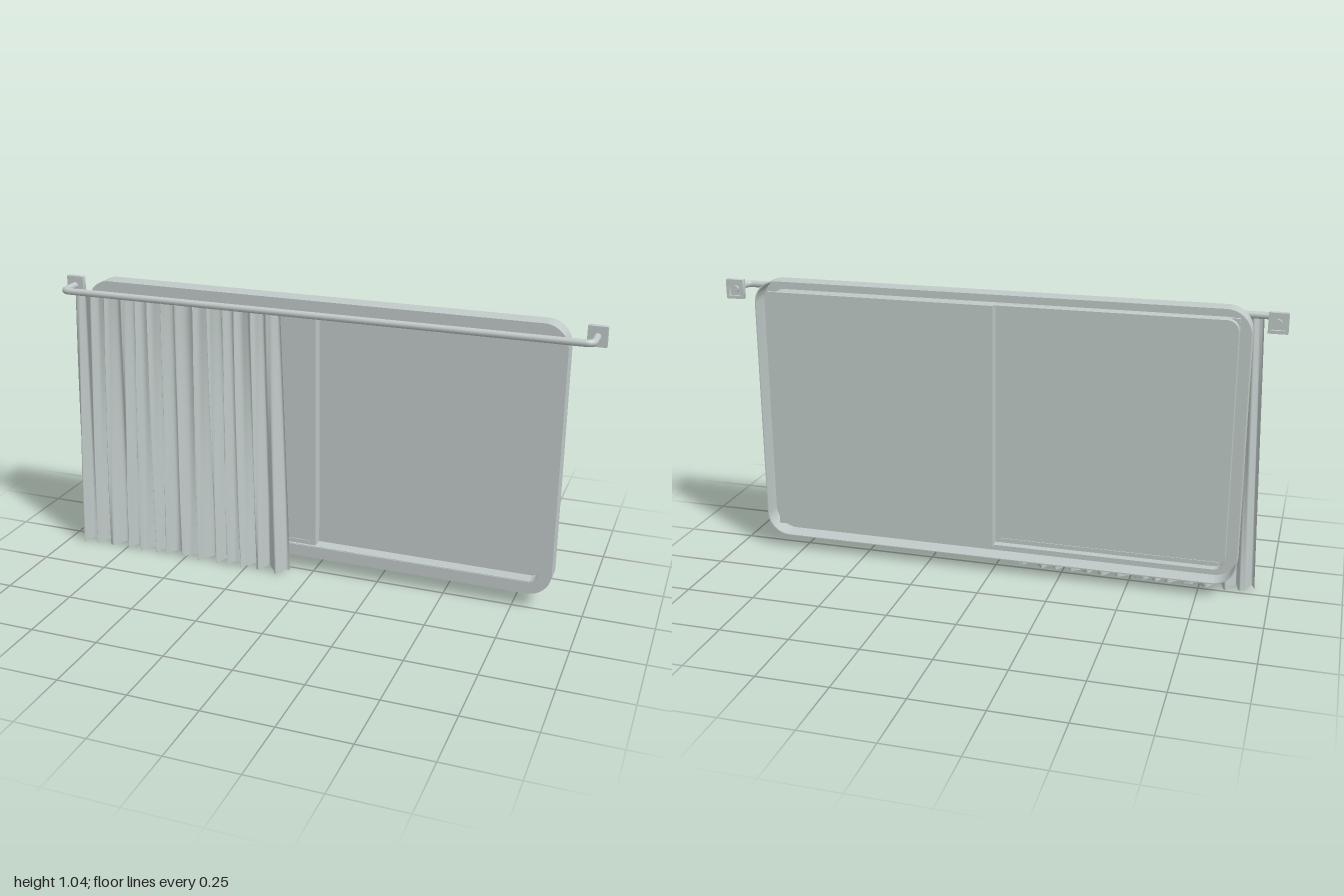
import * as THREE from 'three';
import { toCreasedNormals } from 'three/addons/utils/BufferGeometryUtils.js';

export function createModel() {
  const model = new THREE.Group();
  const grey = new THREE.MeshStandardMaterial({ color: 0xc0cac8, side: THREE.DoubleSide });
  grey.name = 'pale grey';

  const add = (name, geometry, x = 0, y = 0, z = 0, parent = model) => {
    const mesh = new THREE.Mesh(geometry, grey);
    mesh.name = name;
    mesh.position.set(x, y, z);
    parent.add(mesh);
    return mesh;
  };

  // Rounded rectangle outline, centred on the origin
  const trace = (path, w, h, r) => {
    const a = w / 2, b = h / 2;
    path.moveTo(-a + r, -b);
    path.lineTo(a - r, -b);
    path.absarc(a - r, -b + r, r, -Math.PI / 2, 0);
    path.lineTo(a, b - r);
    path.absarc(a - r, b - r, r, 0, Math.PI / 2);
    path.lineTo(-a + r, b);
    path.absarc(-a + r, b - r, r, Math.PI / 2, Math.PI);
    path.lineTo(-a, -b + r);
    path.absarc(-a + r, -b + r, r, Math.PI, Math.PI * 1.5);
    return path;
  };

  // Rectangular ring with an opening, extruded along z
  const ring = (w, h, r, w2, h2, r2, depth) => {
    const shape = trace(new THREE.Shape(), w, h, r);
    shape.holes.push(trace(new THREE.Path(), w2, h2, r2));
    const g = new THREE.ExtrudeGeometry(shape, { depth, bevelEnabled: false, curveSegments: 10 });
    return toCreasedNormals(g, 0.6);
  };

  // Window frame: outer wall, front lip and inner wall, hollow at the back
  const cy = 0.548;
  const frame = new THREE.Group();
  frame.name = 'windowFrame';
  model.add(frame);
  add('frameOuterWall', ring(1.77, 0.985, 0.085, 1.762, 0.977, 0.081, 0.075), 0, cy, -0.072, frame);
  add('frameFrontLip', ring(1.766, 0.981, 0.083, 1.68, 0.896, 0.038, 0.004), 0, cy, -0.001, frame);
  add('frameInnerWall', ring(1.684, 0.9, 0.04, 1.676, 0.892, 0.036, 0.05), 0, cy, -0.05, frame);

  // Two sliding panes on separate tracks, with a post closing the step
  add('rightPane', new THREE.BoxGeometry(0.842, 0.9, 0.01), 0.421, cy, -0.055);
  add('leftPane', new THREE.BoxGeometry(0.842, 0.9, 0.006), -0.421, cy, -0.015);
  add('leftPaneBorder', ring(0.842, 0.9, 0.002, 0.802, 0.86, 0.002, 0.012), -0.421, cy, -0.021);
  add('centrePost', new THREE.BoxGeometry(0.008, 0.9, 0.05), 0, cy, -0.035);

  // Curtain rod with rounded bends at both ends
  const rodY = 1.0, rodZ = 0.043, endX = 0.967, bend = 0.025;
  const v = (x, z) => new THREE.Vector3(x, rodY, z);
  const path = new THREE.CurvePath();
  path.add(new THREE.LineCurve3(v(-endX, -0.055), v(-endX, rodZ - bend)));
  path.add(new THREE.QuadraticBezierCurve3(v(-endX, rodZ - bend), v(-endX, rodZ), v(-endX + bend, rodZ)));
  path.add(new THREE.LineCurve3(v(-endX + bend, rodZ), v(endX - bend, rodZ)));
  path.add(new THREE.QuadraticBezierCurve3(v(endX - bend, rodZ), v(endX, rodZ), v(endX, rodZ - bend)));
  path.add(new THREE.LineCurve3(v(endX, rodZ - bend), v(endX, -0.055)));
  add('curtainRod', new THREE.TubeGeometry(path, 300, 0.0125, 14, false));

  // Wall brackets: a square plate with a raised rim at the back
  for (const side of [-1, 1]) {
    const bracket = new THREE.Group();
    bracket.name = side > 0 ? 'leftBracket' : 'rightBracket';
    bracket.position.set(side * endX, rodY, 0);
    model.add(bracket);
    add('bracketPlate', new THREE.BoxGeometry(0.066, 0.07, 0.008), 0, 0, -0.046, bracket);
    add('bracketRim', ring(0.066, 0.07, 0.001, 0.044, 0.048, 0.001, 0.014), 0, 0, -0.062, bracket);
    const cap = add('rodEnd', new THREE.CylinderGeometry(0.0125, 0.0125, 0.012, 14), 0, 0, -0.055, bracket);
    cap.rotation.x = Math.PI / 2;
  }

  // Gathered curtain: folds deepen and spread towards the hem
  const top = 0.99, folds = 14;
  const cloth = new THREE.PlaneGeometry(1, 1, 224, 20);
  const p = cloth.attributes.position;
  for (let i = 0; i < p.count; i++) {
    const u = p.getX(i) + 0.5, t = 0.5 - p.getY(i);
    const left = THREE.MathUtils.lerp(-0.915, -0.945, t);
    const right = THREE.MathUtils.lerp(-0.11, -0.085, t);
    const amp = THREE.MathUtils.lerp(0.012, 0.032, Math.min(1, t * 1.3));
    const phase = u * folds * Math.PI * 2 + 0.9 * Math.sin(u * 17) + 0.4 * Math.sin(u * 41 + t * 2);
    const wave = 0.8 * Math.sin(phase) + 0.2 * Math.sin(phase * 2.3 + t * 3 + 1);
    const sway = 0.011 * Math.cos(phase + 0.6) * Math.sin(Math.PI * u);
    p.setXYZ(i, THREE.MathUtils.lerp(left, right, u) + sway, top * (1 - t), rodZ + amp * wave);
  }
  cloth.computeVertexNormals();
  add('curtain', cloth);

  return model;
}
